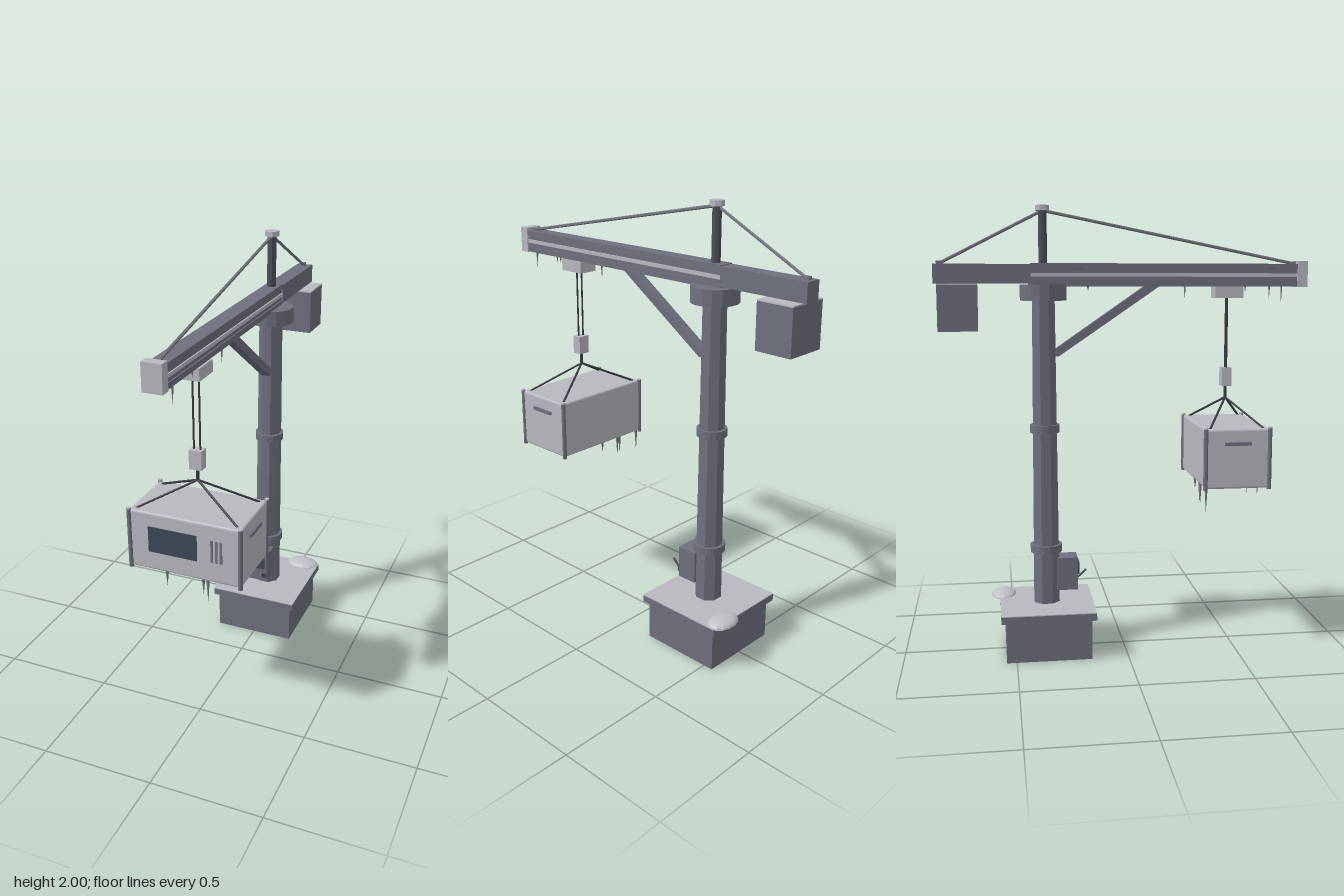
import * as THREE from 'three';
import { RoundedBoxGeometry } from 'three/addons/geometries/RoundedBoxGeometry.js';

const mat = (name, color) => Object.assign(new THREE.MeshStandardMaterial({ color, flatShading: true }), { name });

export function createModel() {
  const steel = mat('steel', 0x6e707d);
  const darkSteel = mat('dark steel', 0x4c4e59);
  const light = mat('light panel', 0xb8b9c0);
  const snow = mat('snow', 0xbfc1c6);
  const cable = mat('cable', 0x3a3c44);
  const glass = mat('glass', 0x3c4855);
  const rodGrey = mat('rod grey', 0x75777f);

  const model = new THREE.Group();
  model.name = 'dockCrane';
  const MAST_Z = -0.355, LOAD_Z = 0.472;

  const add = (parent, name, geo, m, x = 0, y = 0, z = 0) => {
    const mesh = new THREE.Mesh(geo, m);
    mesh.name = name;
    mesh.position.set(x, y, z);
    parent.add(mesh);
    return mesh;
  };
  // Box given by its extents on each axis
  const box = (parent, name, m, [x0, x1], [y0, y1], [z0, z1]) =>
    add(parent, name, new THREE.BoxGeometry(x1 - x0, y1 - y0, z1 - z0), m, (x0 + x1) / 2, (y0 + y1) / 2, (z0 + z1) / 2);
  // Upright prism from y0 to y1, a flat side facing the front
  const prism = (parent, name, m, r0, r1, y0, y1, sides, x = 0, z = MAST_Z) => {
    const geo = new THREE.CylinderGeometry(r1, r0, y1 - y0, sides).rotateY(Math.PI / sides);
    return add(parent, name, geo, m, x, (y0 + y1) / 2, z);
  };
  // Round bar between two points
  const bar = (parent, name, m, a, b, r, sides = 6) => {
    const p = new THREE.Vector3(...a), q = new THREE.Vector3(...b);
    const d = q.clone().sub(p);
    const mesh = add(parent, name, new THREE.CylinderGeometry(r, r, d.length(), sides), m);
    mesh.position.copy(p).add(q).multiplyScalar(0.5);
    mesh.quaternion.setFromUnitVectors(new THREE.Vector3(0, 1, 0), d.normalize());
    return mesh;
  };
  const icicle = (parent, x, y, z, len, r = 0.007) =>
    add(parent, 'icicle', new THREE.ConeGeometry(r, len, 6).rotateX(Math.PI), rodGrey, x, y - len / 2, z);
  const group = (name) => {
    const g = new THREE.Group();
    g.name = name;
    model.add(g);
    return g;
  };

  // Foundation with a snow-covered slab
  const base = group('base');
  box(base, 'foundation', steel, [-0.19, 0.19], [0, 0.185], [-0.545, -0.165]);
  box(base, 'slab', steel, [-0.21, 0.21], [0.185, 0.217], [-0.567, -0.145]);
  box(base, 'slabTop', light, [-0.21, 0.21], [0.217, 0.221], [-0.567, -0.145]);
  const drift = add(base, 'snowDrift', new THREE.SphereGeometry(1, 14, 6, 0, Math.PI * 2, 0, Math.PI / 2), snow, 0.128, 0.216, -0.55);
  drift.scale.set(0.082, 0.028, 0.058);
  const driftBase = add(base, 'snowDriftUnderside', new THREE.CircleGeometry(1, 14).rotateX(Math.PI / 2), snow, 0.128, 0.216, -0.55);
  driftBase.scale.set(0.082, 1, 0.058);

  // Tapered mast, collars, slewing head and top post
  const mast = group('mast');
  prism(mast, 'column', steel, 0.062, 0.053, 0.22, 1.6, 8);
  prism(mast, 'lowerCollar', steel, 0.072, 0.072, 0.455, 0.49, 16);
  prism(mast, 'upperCollar', steel, 0.067, 0.067, 1.005, 1.04, 16);
  prism(mast, 'slewingHead', steel, 0.104, 0.104, 1.59, 1.66, 16);
  prism(mast, 'topPost', darkSteel, 0.02, 0.02, 1.74, 1.98, 8);
  prism(mast, 'topCap', light, 0.032, 0.032, 1.977, 2, 8);

  // Control cabinet on the front of the column
  const control = group('controlCabinet');
  box(control, 'cabinet', steel, [-0.047, 0.047], [0.28, 0.43], [-0.31, -0.215]);
  box(control, 'screen', glass, [-0.038, 0.036], [0.35, 0.405], [-0.215, -0.207]);
  bar(control, 'lever', darkSteel, [0.034, 0.308, -0.216], [0.034, 0.35, -0.17], 0.005);
  box(control, 'leverMount', darkSteel, [0.024, 0.044], [0.3, 0.325], [-0.216, -0.208]);

  // Jib beam: web, flanges, side stripes, rear block
  const jib = group('jib');
  box(jib, 'web', steel, [-0.03, 0.03], [1.66, 1.745], [-0.42, 0.8]);
  box(jib, 'topFlange', steel, [-0.036, 0.036], [1.73, 1.752], [-0.41, 0.8]);
  for (const s of [-1, 1]) {
    const xs = (a, b) => [Math.min(s * a, s * b), Math.max(s * a, s * b)];
    box(jib, 'bottomRail', steel, xs(0.012, 0.036), [1.652, 1.676], [-0.41, 0.8]);
    box(jib, 'sideStripe', light, xs(0.03, 0.036), [1.694, 1.71], [-0.41, 0.8]);
  }
  box(jib, 'rearBeam', steel, [-0.037, 0.037], [1.665, 1.748], [-0.83, -0.41]);
  box(jib, 'endCap', light, [-0.042, 0.042], [1.65, 1.765], [0.79, 0.835]);
  box(jib, 'counterweight', steel, [-0.095, 0.095], [1.46, 1.658], [-0.812, -0.642]);
  box(jib, 'counterweightTop', light, [-0.095, 0.095], [1.658, 1.664], [-0.812, -0.642]);

  // Diagonal brace, drawn in side profile
  const profile = new THREE.Shape([[0.172, 1.66], [0.105, 1.66], [-0.315, 1.37], [-0.305, 1.345], [-0.29, 1.345]]
    .map(([z, y]) => new THREE.Vector2(-z, y)));
  const braceGeo = new THREE.ExtrudeGeometry(profile, { depth: 0.04, bevelEnabled: false });
  braceGeo.translate(0, 0, -0.02).rotateY(Math.PI / 2);
  add(jib, 'brace', braceGeo, steel);

  // Tie rods with their anchors
  for (const [z, y] of [[0.775, 1.755], [-0.8, 1.752]]) {
    bar(jib, 'tieRod', rodGrey, [0, 1.978, MAST_Z], [0, y, z], 0.007);
    box(jib, 'tieAnchor', rodGrey, [-0.009, 0.009], [1.745, 1.762], [z - 0.015, z + 0.015]);
  }
  [[0.03, 0.735, 0.08], [-0.03, 0.66, 0.06], [0.03, 0.565, 0.03], [0.03, 0.285, 0.06], [-0.03, -0.16, 0.025]]
    .forEach(([x, z, len]) => icicle(jib, x, 1.655, z, len, 0.005));

  // Trolley, hoist cables and hook block
  const hoist = group('hoist');
  box(hoist, 'trolley', light, [-0.046, 0.046], [1.6, 1.652], [0.41, 0.537]);
  for (const x of [-0.014, 0.014]) bar(hoist, 'hoistCable', cable, [x, 1.28, LOAD_Z], [x, 1.6, LOAD_Z], 0.004);
  box(hoist, 'hookBlock', light, [-0.028, 0.028], [1.203, 1.287], [LOAD_Z - 0.022, LOAD_Z + 0.022]);
  bar(hoist, 'hookShank', cable, [0, 1.145, LOAD_Z], [0, 1.205, LOAD_Z], 0.007);

  // Hanging container
  const load = group('container');
  add(load, 'containerBody', new RoundedBoxGeometry(0.5, 0.265, 0.288, 2, 0.01), light, 0, 0.905, LOAD_Z);
  for (const sx of [-1, 1]) {
    for (const sz of [-1, 1]) {
      const x = sx * 0.247, z = LOAD_Z + sz * 0.143;
      prism(load, 'cornerPost', steel, 0.01, 0.01, 0.768, 1.038, 8, x, z);
      prism(load, 'postCap', light, 0.01, 0.01, 1.038, 1.044, 8, x, z);
      bar(load, 'sling', cable, [0, 1.15, LOAD_Z], [sx * 0.225, 1.036, LOAD_Z + sz * 0.12], 0.005);
    }
    box(load, 'sideHandle', steel, [sx * 0.254 - 0.005, sx * 0.254 + 0.005], [0.965, 0.98], [LOAD_Z - 0.06, LOAD_Z + 0.06]);
  }
  box(load, 'window', glass, [-0.16, 0.057], [0.86, 0.975], [0.614, 0.621]);
  for (const x of [0.123, 0.143, 0.163]) box(load, 'vent', steel, [x - 0.005, x + 0.005], [0.868, 0.967], [0.614, 0.62]);

  // Icicles under the front and back edges
  [[-0.085, 0.07], [0.08, 0.075], [0.1, 0.11]].forEach(([x, len]) => icicle(load, x, 0.776, 0.608, len));
  [[-0.23, 0.108], [-0.115, 0.09], [-0.1, 0.1], [0, 0.05]].forEach(([x, len]) => icicle(load, x, 0.776, 0.336, len));

  return model;
}
